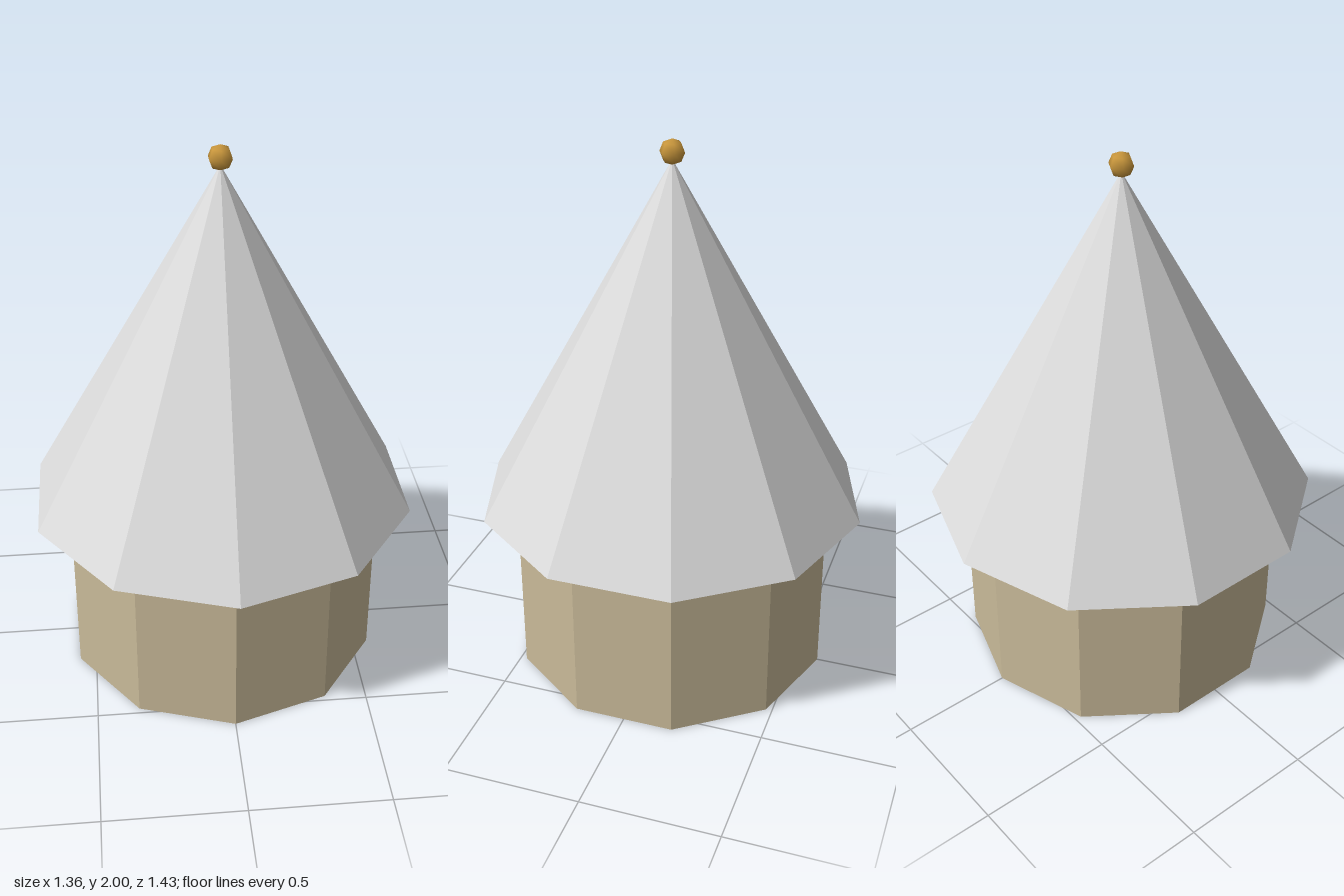
import * as THREE from 'three';

const SIDES = 10;

function material(name, color, flatShading = false) {
  const m = new THREE.MeshStandardMaterial({ color, flatShading });
  m.name = name;
  return m;
}

export function createModel() {
  const group = new THREE.Group();
  group.name = 'roundHut';

  const add = (name, geometry, mat, y) => {
    const mesh = new THREE.Mesh(geometry, mat);
    mesh.name = name;
    mesh.position.y = y;
    group.add(mesh);
    return mesh;
  };

  // ten-sided wall
  const wallHeight = 0.645;
  add('wall', new THREE.CylinderGeometry(0.59, 0.59, wallHeight, SIDES),
    material('sandstone', 0xc9ba99, true), wallHeight / 2);

  // overhanging pointed roof, closed underneath
  const roofHeight = 1.285;
  add('roof', new THREE.ConeGeometry(0.715, roofHeight, SIDES),
    material('paleGrey', 0xdcdcdc, true), wallHeight + roofHeight / 2);

  // small ball on the tip, with corners toward front and back
  const ballRadius = 0.045;
  const finial = add('finial', new THREE.SphereGeometry(ballRadius, 6, 4),
    material('gold', 0xc8963c), 2 - ballRadius);
  finial.rotation.y = Math.PI / 6;

  return group;
}
